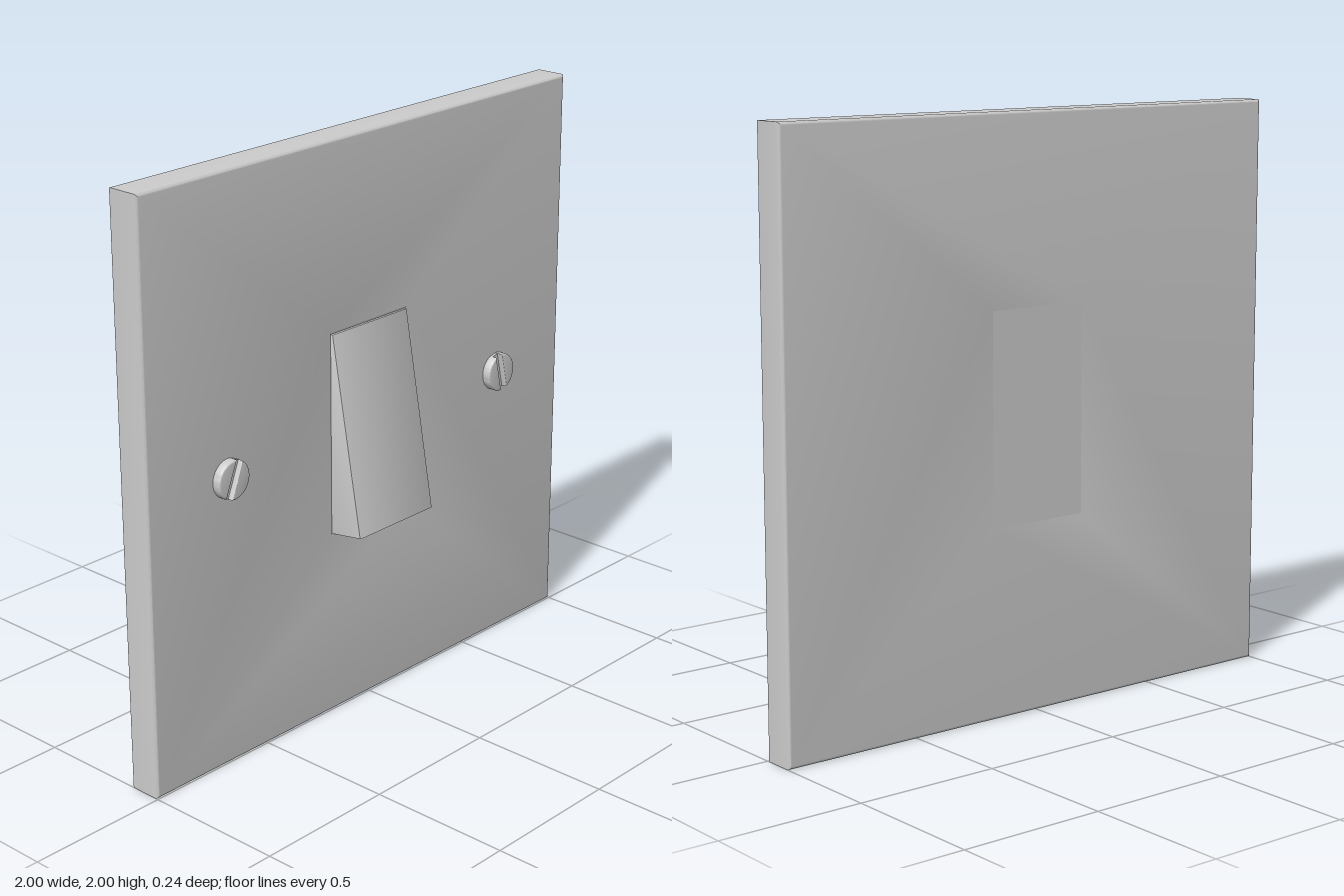
import * as THREE from 'three';
import { toCreasedNormals } from 'three/addons/utils/BufferGeometryUtils.js';

const grey = new THREE.MeshStandardMaterial({ color: 0xcccccc });

function part(name, geometry, parent) {
  const mesh = new THREE.Mesh(toCreasedNormals(geometry, 0.6), grey);
  mesh.name = name;
  parent.add(mesh);
  return mesh;
}

function rectangle(path, halfW, y0, y1) {
  path.moveTo(-halfW, y0);
  path.lineTo(halfW, y0);
  path.lineTo(halfW, y1);
  path.lineTo(-halfW, y1);
  path.closePath();
  return path;
}

// Slotted round screw head, axis along z
function createScrew(name, x, tilt) {
  const screw = new THREE.Group();
  screw.name = name;
  const bevel = 0.006, r = 0.067 - bevel, halfSlot = 0.012 + bevel;
  const a = Math.asin(halfSlot / r);
  const half = new THREE.Shape();
  half.absarc(0, 0, r, -Math.PI / 2 + a, Math.PI / 2 - a, false);
  half.closePath();
  for (const side of [0, 1]) {
    const geo = new THREE.ExtrudeGeometry(half, {
      depth: 0.028, bevelThickness: bevel, bevelSize: bevel, bevelSegments: 3, curveSegments: 20,
    });
    geo.translate(0, 0, -0.004);
    part('screwHeadHalf', geo, screw).rotation.z = side * Math.PI;
  }
  const floor = new THREE.CylinderGeometry(0.065, 0.065, 0.02, 40).rotateX(Math.PI / 2);
  part('slotFloor', floor, screw);
  screw.position.set(x, 1.005, 0);
  screw.rotation.z = tilt;
  return screw;
}

export function createModel() {
  const model = new THREE.Group();
  model.name = 'wallSwitch';

  // Wall plate with softened edges and an opening for the rocker
  const b = 0.011, thick = 0.12;
  const outline = rectangle(new THREE.Shape(), 1 - b, b, 2 - b);
  outline.holes.push(rectangle(new THREE.Path(), 0.188, 0.648, 1.364));
  const plate = new THREE.ExtrudeGeometry(outline, {
    depth: thick - 2 * b, bevelThickness: b, bevelSize: b, bevelSegments: 4,
  });
  plate.translate(0, 0, b - thick);
  part('plate', plate, model);

  // Closes the opening at the back
  const back = new THREE.BoxGeometry(0.376, 0.716, 0.05);
  back.translate(0, 1.006, -thick + 0.025);
  part('backCover', back, model);

  // Wedge-shaped rocker, pressed in at the top
  const e = 0.004;
  const profile = new THREE.Shape([
    [-0.05, 0.653], [0, 0.658], [0.12, 0.676], [0.002, 1.352], [-0.05, 1.352],
  ].map(([z, y]) => new THREE.Vector2(z, y)));
  const rocker = new THREE.ExtrudeGeometry(profile, {
    depth: 0.36 - 2 * e, bevelThickness: e, bevelSize: e, bevelSegments: 2,
  });
  rocker.translate(0, 0, -0.18 + e).rotateY(-Math.PI / 2);
  part('rocker', rocker, model);

  model.add(createScrew('rightScrew', -0.655, -0.38));
  model.add(createScrew('leftScrew', 0.655, 0.22));
  return model;
}
